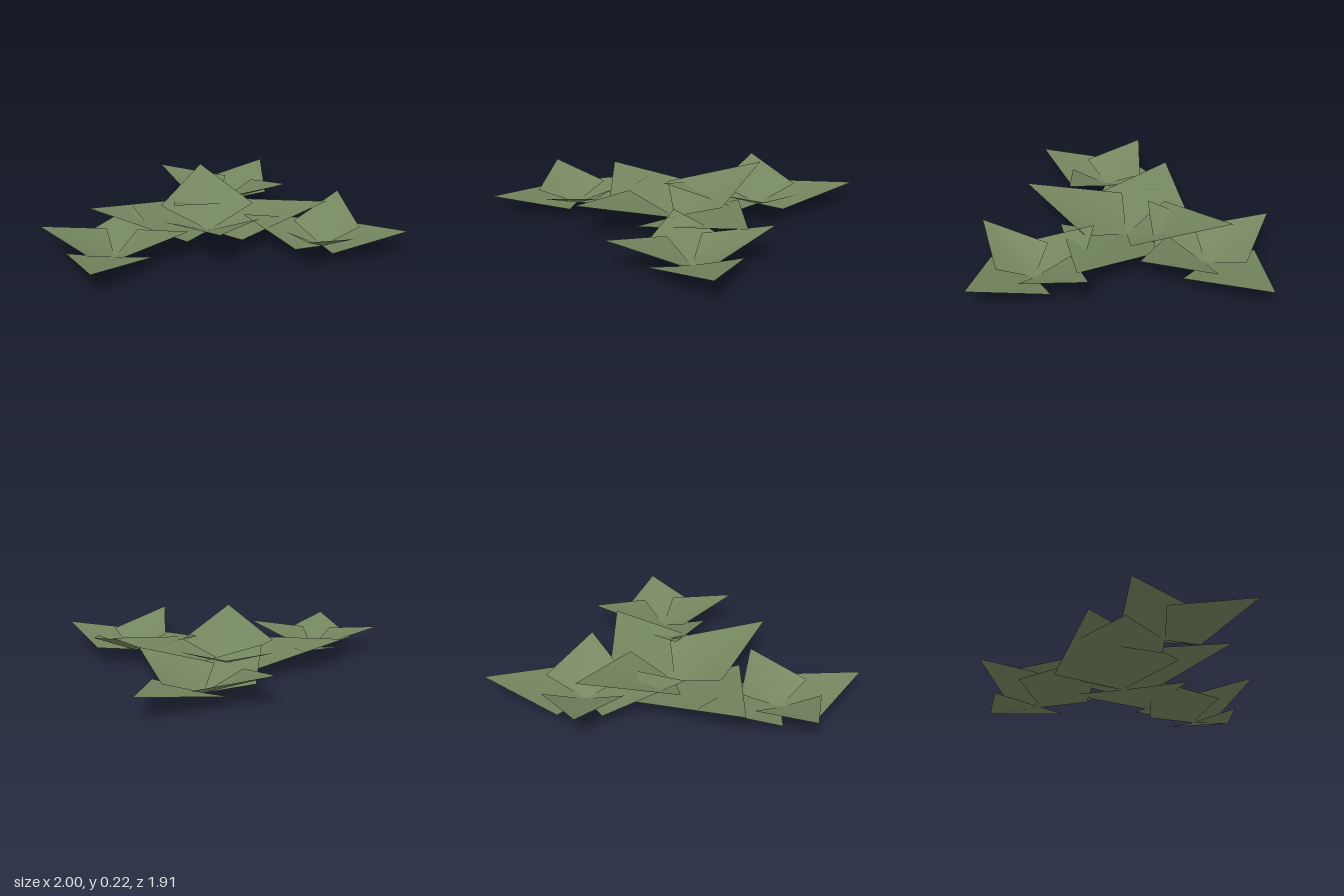
import * as THREE from 'three';

const leafGreen = new THREE.MeshStandardMaterial({ color: 0x74865f, side: THREE.DoubleSide });
leafGreen.name = 'leafGreen';

// Kite-shaped leaf growing along +x, folded up from its midrib
function leafGeometry({ length, rise, half, shoulder, lift }) {
  const g = new THREE.BufferGeometry();
  g.setAttribute('position', new THREE.Float32BufferAttribute([
    0, 0, 0,
    shoulder, lift, half,
    length, rise, 0,
    shoulder, lift, -half,
  ], 3));
  g.setIndex([0, 1, 2, 0, 2, 3]);
  g.computeVertexNormals();
  return g;
}

// Rosette: a low pair of opposite leaves crossed by a steeper, upper pair
function rosette({ name, x, z, angle, low, high }) {
  const plant = new THREE.Group();
  plant.name = name;
  [['lowLeaf', low, 0, 0.47], ['highLeaf', high, Math.PI / 2, 0.52]].forEach(([leafName, [length, rise, half], turn, liftRatio]) => {
    const geometry = leafGeometry({ length, rise, half, shoulder: length * 0.215, lift: rise * liftRatio });
    for (let i = 0; i < 2; i++) {
      const leaf = new THREE.Mesh(geometry, leafGreen);
      leaf.name = leafName + (i + 1);
      leaf.rotation.y = turn + i * Math.PI;
      plant.add(leaf);
    }
  });
  plant.position.set(x, 0, z);
  plant.rotation.y = angle;
  return plant;
}

export function createModel() {
  const group = new THREE.Group();
  group.name = 'groundCoverPlants';
  // Leaf sizes are [length, tip height, half width]
  const plants = [
    { name: 'centrePlant', x: -0.05, z: 0.07, angle: 0, low: [0.7, 0.16, 0.37], high: [0.665, 0.22, 0.28] },
    { name: 'backPlant', x: 0.075, z: -0.475, angle: Math.atan2(0.485, 0.33), low: [0.585, 0.14, 0.26], high: [0.46, 0.185, 0.24] },
    { name: 'leftPlant', x: 0.567, z: 0.38, angle: Math.atan2(-0.18, 0.43), low: [0.466, 0.14, 0.262], high: [0.456, 0.19, 0.19] },
    { name: 'rightPlant', x: -0.6, z: 0.44, angle: Math.atan2(-0.51, -0.1), low: [0.52, 0.122, 0.238], high: [0.408, 0.165, 0.214] },
  ];
  plants.forEach((p) => group.add(rosette(p)));
  return group;
}
